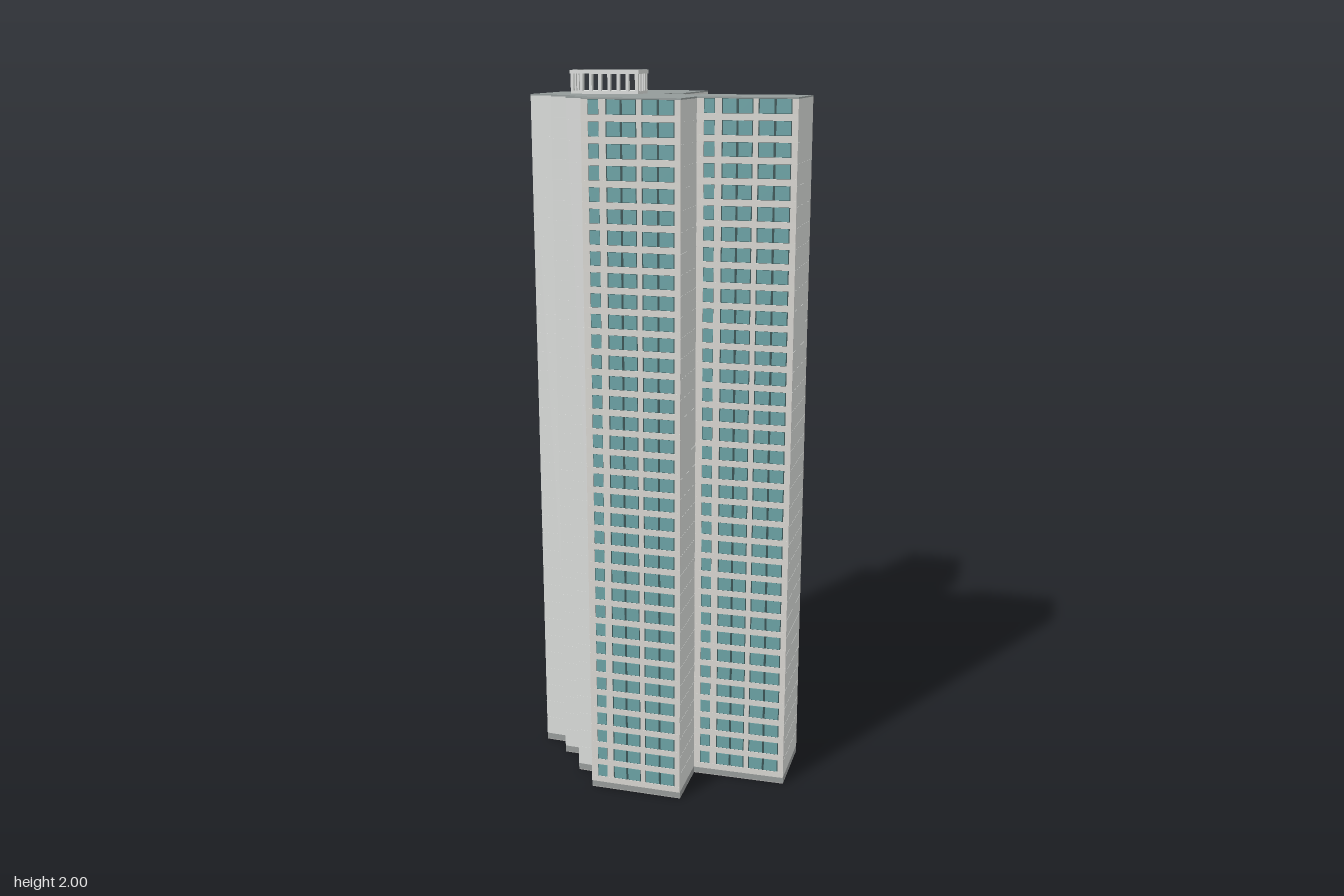
import * as THREE from 'three';
import { mergeGeometries } from 'three/addons/utils/BufferGeometryUtils.js';

const mat = (name, color) => {
  const m = new THREE.MeshStandardMaterial({ color });
  m.name = name;
  return m;
};

// footprint corners (x, z), each wall running to the next corner
const PLAN = [
  [-0.15, -0.355], [-0.34, -0.275], [-0.255, -0.075], [-0.41, -0.01], [-0.313, 0.227],
  [-0.238, 0.199], [-0.214, 0.252], [-0.146, 0.225], [-0.111, 0.305], [-0.047, 0.281],
  [-0.016, 0.352], [0.225, 0.25], [0.166, 0.108], [0.408, 0], [0.332, -0.183],
  [0.052, -0.066], [0.067, -0.032], [-0.03, 0.01], [-0.072, -0.088], [-0.042, -0.1],
];

// glazed walls: window bays as fractions of the wall length
const FRONT_BAYS = [[0.07, 0.18], [0.25, 0.56], [0.61, 0.94]];
const BAYS = {
  0: [[0.05, 0.31], [0.36, 0.64], [0.69, 0.95]],
  2: [[0.08, 0.47], [0.54, 0.93]],
  10: FRONT_BAYS,
  12: FRONT_BAYS,
  14: [[0.04, 0.26], [0.31, 0.5], [0.55, 0.73], [0.78, 0.87], [0.91, 0.97]],
};

const BASE = 0.02, ROOF = 1.933, TOP = 1.937;
const FLOORS = 35, PITCH = (ROOF - BASE) / FLOORS;
const BAND = 0.017;

// box from its centre and size
function box(x, y, z, w, h, d) {
  return new THREE.BoxGeometry(w, h, d).translate(x, y, z);
}

function part(parent, name, geometries, material) {
  const mesh = new THREE.Mesh(mergeGeometries(geometries), material);
  mesh.name = name;
  parent.add(mesh);
}

// slab with the shape of the footprint
function slab(y0, y1) {
  const shape = new THREE.Shape(PLAN.map(([x, z]) => new THREE.Vector2(x, -z)));
  const g = new THREE.ExtrudeGeometry(shape, { depth: y1 - y0, bevelEnabled: false });
  return g.rotateX(-Math.PI / 2).translate(0, y0, 0);
}

export function createModel() {
  const concrete = mat('concrete', 0xdbdddb);
  const trim = mat('pale trim', 0xd9d7d2);
  const roofing = mat('roofing', 0x939b9a);
  const glass = mat('teal glass', 0x6ca3a6);
  const frame = mat('dark frame', 0x3b5556);
  const plinth = mat('plinth grey', 0x989c9b);
  const underside = mat('underside grey', 0xb4b3b1);

  const model = new THREE.Group();
  model.name = 'apartmentTower';

  part(model, 'underside', [slab(0, 0.002)], underside);
  part(model, 'plinth', [slab(0.002, BASE)], plinth);
  part(model, 'towerBody', [slab(BASE, ROOF)], concrete);
  part(model, 'roof', [slab(ROOF, TOP)], roofing);

  PLAN.forEach(([ax, az], i) => {
    const [bx, bz] = PLAN[(i + 1) % PLAN.length];
    const L = Math.hypot(bx - ax, bz - az);

    // local x runs along the wall, local z points outward
    const wall = new THREE.Group();
    wall.name = 'wall' + (i + 1);
    wall.position.set(ax, 0, az);
    wall.rotation.y = Math.atan2(az - bz, bx - ax);
    model.add(wall);

    if (!BAYS[i]) {
      // plain wall with a shallow seam at each floor
      const seams = [];
      for (let f = 1; f < FLOORS; f++) seams.push(box(L / 2, BASE + f * PITCH, 0, L, 0.001, 0.001));
      part(wall, 'floorSeams', seams, concrete);
      return;
    }

    const frames = [], panes = [], ledges = [];
    const h = PITCH - BAND;
    for (let f = 0; f < FLOORS; f++) {
      const y = BASE + f * PITCH;
      ledges.push(box(L / 2, y + BAND / 2, 0, L, BAND, 0.006));
      for (const [s, e] of BAYS[i]) {
        const x0 = s * L, w = (e - s) * L;
        const cy = y + BAND + h / 2;
        frames.push(box(x0 + w / 2, cy, 0, w, h, 0.002));
        // wide bays hold two panes with a dark mullion between
        const n = w > 0.04 ? 2 : 1;
        const gap = n > 1 ? 0.006 : 0.002;
        for (let k = 0; k < n; k++) {
          panes.push(box(x0 + (k + 0.5) * w / n, cy, 0, w / n - gap, h - 0.002, 0.004));
        }
      }
    }
    // piers between the bays
    const edges = [0, ...BAYS[i].flat(), 1];
    const piers = [];
    for (let k = 0; k < edges.length; k += 2) {
      const a = edges[k] * L, b = edges[k + 1] * L;
      piers.push(box((a + b) / 2, (BASE + ROOF) / 2, 0, b - a, ROOF - BASE, 0.005));
    }
    part(wall, 'windowFrames', frames, frame);
    part(wall, 'windowPanes', panes, glass);
    part(wall, 'floorBands', ledges, trim);
    part(wall, 'piers', piers, trim);
  });

  // open crown on the roof: deck, posts and top ring
  const crown = new THREE.Group();
  crown.name = 'roofCrown';
  crown.position.set(-0.177, 0, 0.057);
  crown.rotation.y = 0.405;
  model.add(crown);
  const W = 0.196, D = 0.095, T = 0.012;
  part(crown, 'crownDeck', [box(0, TOP + 0.004, 0, W - 0.004, 0.008, D - 0.004)], concrete);
  const bars = [];
  for (const s of [-1, 1]) {
    bars.push(box(0, 1.995, s * (D - T) / 2, W, 0.01, T));
    bars.push(box(s * (W - T) / 2, 1.995, 0, T, 0.01, D - 2 * T));
    for (let k = 0; k < 8; k++) {
      bars.push(box(-(W - T) / 2 + k * (W - T) / 7, 1.967, s * (D - T) / 2, 0.008, 0.046, 0.01));
    }
    for (const z of [-0.0225, 0, 0.0225]) bars.push(box(s * (W - T) / 2, 1.967, z, 0.01, 0.046, 0.008));
  }
  part(crown, 'crownFrame', bars, concrete);

  return model;
}
